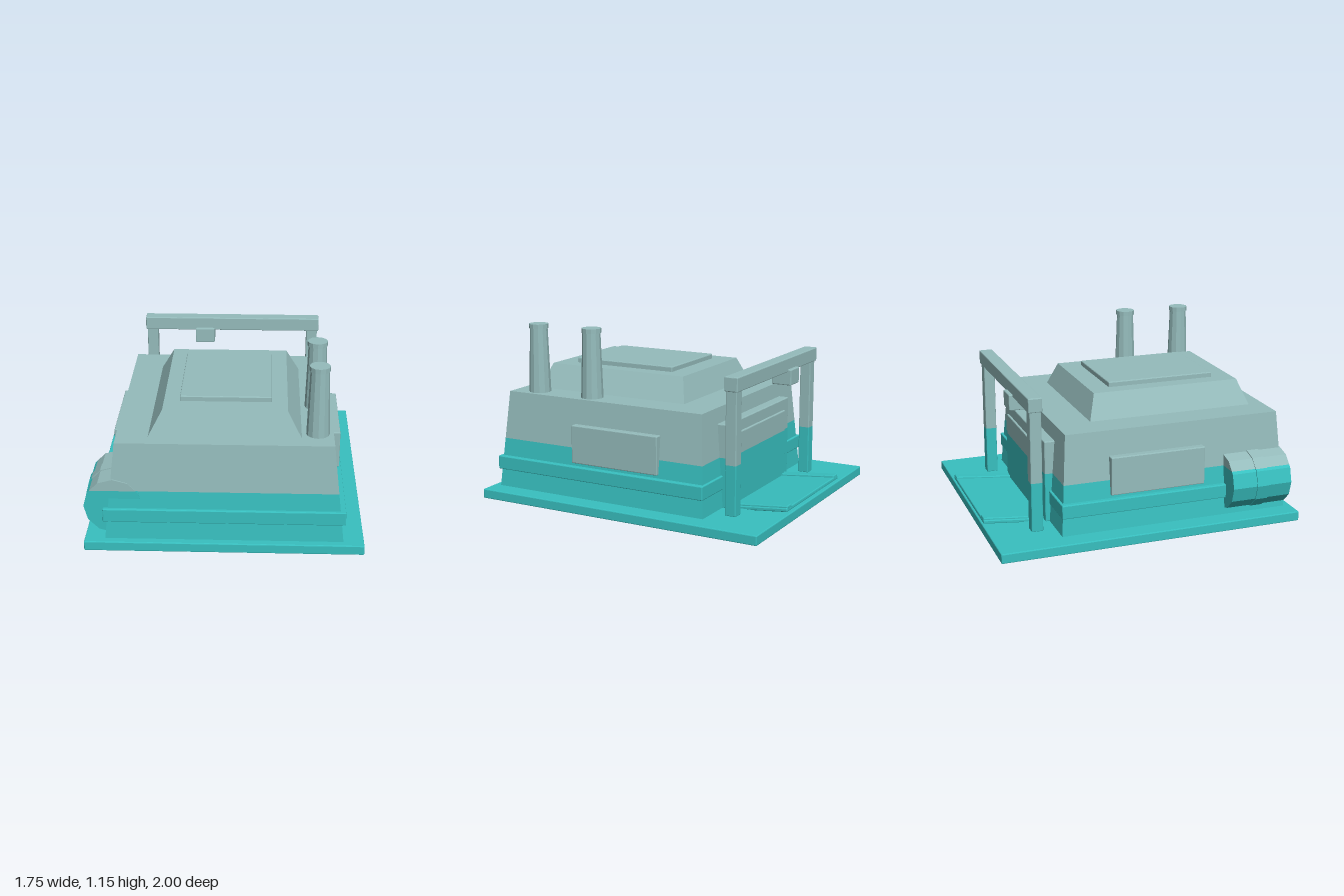
import * as THREE from 'three';
import { RoundedBoxGeometry } from 'three/addons/geometries/RoundedBoxGeometry.js';

const PAINT_LINE = 0.385; // height where the teal lower paint meets the grey

const teal = new THREE.MeshStandardMaterial({ name: 'teal', color: 0x38c0c0 });
const grey = new THREE.MeshStandardMaterial({ name: 'pale grey', color: 0x95bcbc });

// Box with slightly softened edges, given by its extents
function block(x0, x1, y0, y1, z0, z1) {
  const g = new RoundedBoxGeometry(x1 - x0, y1 - y0, z1 - z0, 1, 0.006);
  return g.translate((x0 + x1) / 2, (y0 + y1) / 2, (z0 + z1) / 2);
}

// Box whose top is narrower than its bottom; half sizes in x and z
function frustum(y0, y1, bottom, top, cz) {
  const g = new THREE.BoxGeometry(2, 1, 2);
  const p = g.attributes.position;
  for (let i = 0; i < p.count; i++) {
    const up = p.getY(i) > 0;
    const [hx, hz] = up ? top : bottom;
    p.setXYZ(i, p.getX(i) * hx, up ? y1 : y0, p.getZ(i) * hz + cz);
  }
  return g;
}

// Keep the part of a polygon above (sign 1) or below (sign -1) the paint line
function clip(poly, sign) {
  const out = [];
  poly.forEach((a, i) => {
    const b = poly[(i + 1) % poly.length];
    const da = (a.y - PAINT_LINE) * sign, db = (b.y - PAINT_LINE) * sign;
    if (da >= 0) out.push(a);
    if (da * db < 0) out.push(a.clone().lerp(b, da / (da - db)));
  });
  return out;
}

// Cut a geometry at the paint line into two material groups with flat normals
function paintByHeight(source) {
  const g = source.index ? source.toNonIndexed() : source;
  const p = g.attributes.position;
  const halves = [-1, 1].map((sign) => {
    const points = [];
    for (let i = 0; i < p.count; i += 3) {
      const tri = [0, 1, 2].map((k) => new THREE.Vector3().fromBufferAttribute(p, i + k));
      const poly = clip(tri, sign);
      for (let k = 1; k + 1 < poly.length; k++) points.push(poly[0], poly[k], poly[k + 1]);
    }
    return points;
  });
  const result = new THREE.BufferGeometry().setFromPoints([...halves[0], ...halves[1]]);
  result.addGroup(0, halves[0].length, 0);
  result.addGroup(halves[0].length, halves[1].length, 1);
  result.computeVertexNormals();
  return result;
}

export function createModel() {
  const model = new THREE.Group();
  model.name = 'factoryBuilding';

  function add(name, geometry, material) {
    let g;
    if (material) {
      g = geometry.index ? geometry.toNonIndexed() : geometry;
      g.computeVertexNormals();
    } else {
      g = paintByHeight(geometry);
    }
    const mesh = new THREE.Mesh(g, material || [teal, grey]);
    mesh.name = name;
    model.add(mesh);
    return mesh;
  }

  // Ground slab, sloped hall and the trim around its foot
  add('baseSlab', block(-0.87, 0.87, 0, 0.063, -1, 1), teal);
  add('hall', frustum(0.06, 0.7, [0.742, 0.765], [0.67, 0.718], 0.187));
  add('trimBand', block(-0.752, 0.752, 0.18, 0.27, -0.578, 0.957), teal);

  // Raised roof with a flat hatch
  add('raisedRoof', frustum(0.7, 0.857, [0.472, 0.553], [0.385, 0.498], 0.252), grey);
  add('roofHatch', block(-0.285, 0.285, 0.85, 0.89, -0.11, 0.617), grey);

  // Chimneys with caps
  for (const z of [0.32, 0.73]) {
    add('chimney', new THREE.CylinderGeometry(0.058, 0.073, 0.44, 12).translate(0.572, 0.91, z), grey);
    add('chimneyCap', new THREE.CylinderGeometry(0.064, 0.064, 0.03, 12).translate(0.572, 1.137, z), grey);
  }

  // Side panels
  for (const s of [-1, 1]) {
    add('sidePanel', block(s * 0.71 - 0.026, s * 0.71 + 0.026, 0.29, 0.54, -0.252, 0.38), grey);
  }

  // Storage drum lying along the left edge of the front, with a hoop
  const drum = (r, z0, z1) => new THREE.CylinderGeometry(r, r, z1 - z0, 12)
    .rotateX(Math.PI / 2).translate(-0.687, 0.278, (z0 + z1) / 2);
  add('drum', drum(0.184, 0.525, 0.932));
  add('drumHoop', drum(0.19, 0.69, 0.77));

  // Rear doorway and door
  add('doorFrame', block(-0.472, 0.472, 0.06, 0.6, -0.605, -0.5));
  add('door', block(-0.395, 0.395, 0.06, 0.525, -0.618, -0.55));

  // Loading ramp with side rails, tilted up toward the outer edge
  const tilt = (g) => g.rotateX(0.1).translate(0, 0.081, -0.8);
  add('ramp', tilt(block(-0.43, 0.43, -0.016, 0.008, -0.2, 0.2)), teal);
  for (const s of [-1, 1]) {
    add('rampRail', tilt(block(s * 0.386 - 0.035, s * 0.386 + 0.035, 0, 0.02, -0.2, 0.2)), teal);
  }

  // Gantry crane over the ramp
  for (const s of [-1, 1]) {
    add('gantryPost', block(s * 0.572 - 0.038, s * 0.572 + 0.038, 0.06, 0.85, -0.735, -0.66));
  }
  add('gantryBeam', block(-0.62, 0.62, 0.845, 0.937, -0.745, -0.655), grey);
  add('hoist', block(-0.26, -0.125, 0.757, 0.862, -0.77, -0.632), grey);

  return model;
}
